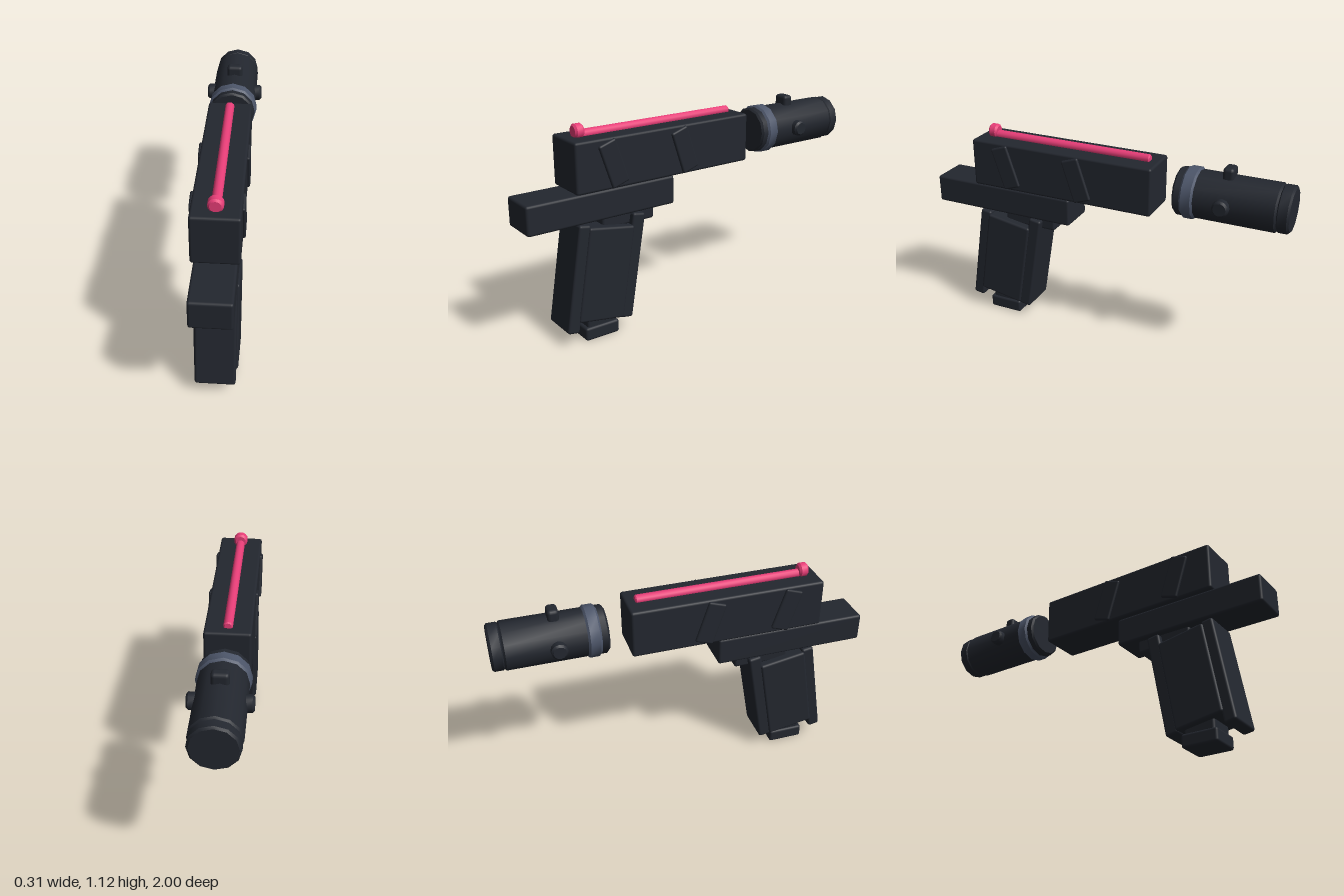
import * as THREE from 'three';
import { RoundedBoxGeometry } from 'three/addons/geometries/RoundedBoxGeometry.js';
import { toCreasedNormals } from 'three/addons/utils/BufferGeometryUtils.js';

export function createModel() {
  const model = new THREE.Group();
  model.name = 'toyBlaster';
  const dark = new THREE.MeshStandardMaterial({ color: 0x23272f });
  const steel = new THREE.MeshStandardMaterial({ color: 0x4d566a });
  const pink = new THREE.MeshStandardMaterial({ color: 0xe83e78 });

  const add = (name, geometry, material, x, y, z) => {
    const mesh = new THREE.Mesh(geometry, material);
    mesh.name = name;
    mesh.position.set(x, y, z);
    model.add(mesh);
    return mesh;
  };

  // Soft-edged box: size, centre, lean about x
  const box = (name, [w, h, d], [x, y, z], lean = 0, radius = 0.013) => {
    const mesh = add(name, new RoundedBoxGeometry(w, h, d, 2, radius), dark, x, y, z);
    mesh.rotation.x = lean;
    return mesh;
  };

  // Bevelled round part lying along z, from z0 to z1
  const round = (name, r, z0, z1, y, material, bevel = 0.01, sides = 12) => {
    const h = (z1 - z0) / 2;
    const profile = [[0, -h], [r - bevel, -h], [r, -h + bevel], [r, h - bevel], [r - bevel, h], [0, h]]
      .map(([a, b]) => new THREE.Vector2(a, b));
    const geometry = toCreasedNormals(new THREE.LatheGeometry(profile, sides), 0.6);
    const mesh = add(name, geometry, material, 0, y, (z0 + z1) / 2);
    mesh.rotation.x = Math.PI / 2;
    return mesh;
  };

  // Upper body and frame
  box('upperBody', [0.235, 0.26, 1.045], [0, 0.93, 0.218]);
  box('frame', [0.206, 0.152, 0.832], [0, 0.721, 0.584]);
  box('triggerBlock', [0.14, 0.085, 0.305], [0, 0.622, 0.428]);

  // Slanted side ribs
  for (const side of [-1, 1]) {
    for (const z of [0.535, 0.112]) {
      box('sideRib', [0.04, 0.235, 0.1], [side * 0.11, 0.929, z], 0.32, 0.01);
    }
  }

  // Leaning grip with its magazine
  const lean = -0.165;
  box('gripPanel', [0.224, 0.5, 0.262], [0, 0.354, 0.586], lean);
  box('gripFrontStrap', [0.206, 0.57, 0.066], [0, 0.356, 0.74], lean);
  box('gripBackStrap', [0.206, 0.57, 0.072], [0, 0.356, 0.428], lean);
  box('magazineNeck', [0.155, 0.12, 0.165], [0, 0.11, 0.61]);
  box('magazineBase', [0.176, 0.072, 0.195], [0, 0.036, 0.612]);

  // Sight rail and bead
  round('sightRail', 0.024, -0.255, 0.66, 1.068, pink, 0.006);
  round('sightBead', 0.038, 0.637, 0.688, 1.085, pink, 0.01, 16);

  // Detached barrel attachment
  round('barrelTube', 0.125, -0.94, -0.415, 0.93, dark);
  round('barrelCap', 0.121, -1.0, -0.935, 0.93, dark);
  round('barrelRing', 0.135, -0.525, -0.455, 0.93, steel);

  // Knobs on the sides and top of the barrel
  for (const side of [-1, 1]) {
    const knob = round('sideKnob', 0.043, -0.708, -0.638, 0.93, dark, 0.01);
    knob.rotation.set(0, 0, -side * Math.PI / 2);
    knob.position.x = side * 0.121;
  }
  box('topKnob', [0.086, 0.08, 0.058], [0, 1.06, -0.673], 0, 0.018);

  return model;
}
